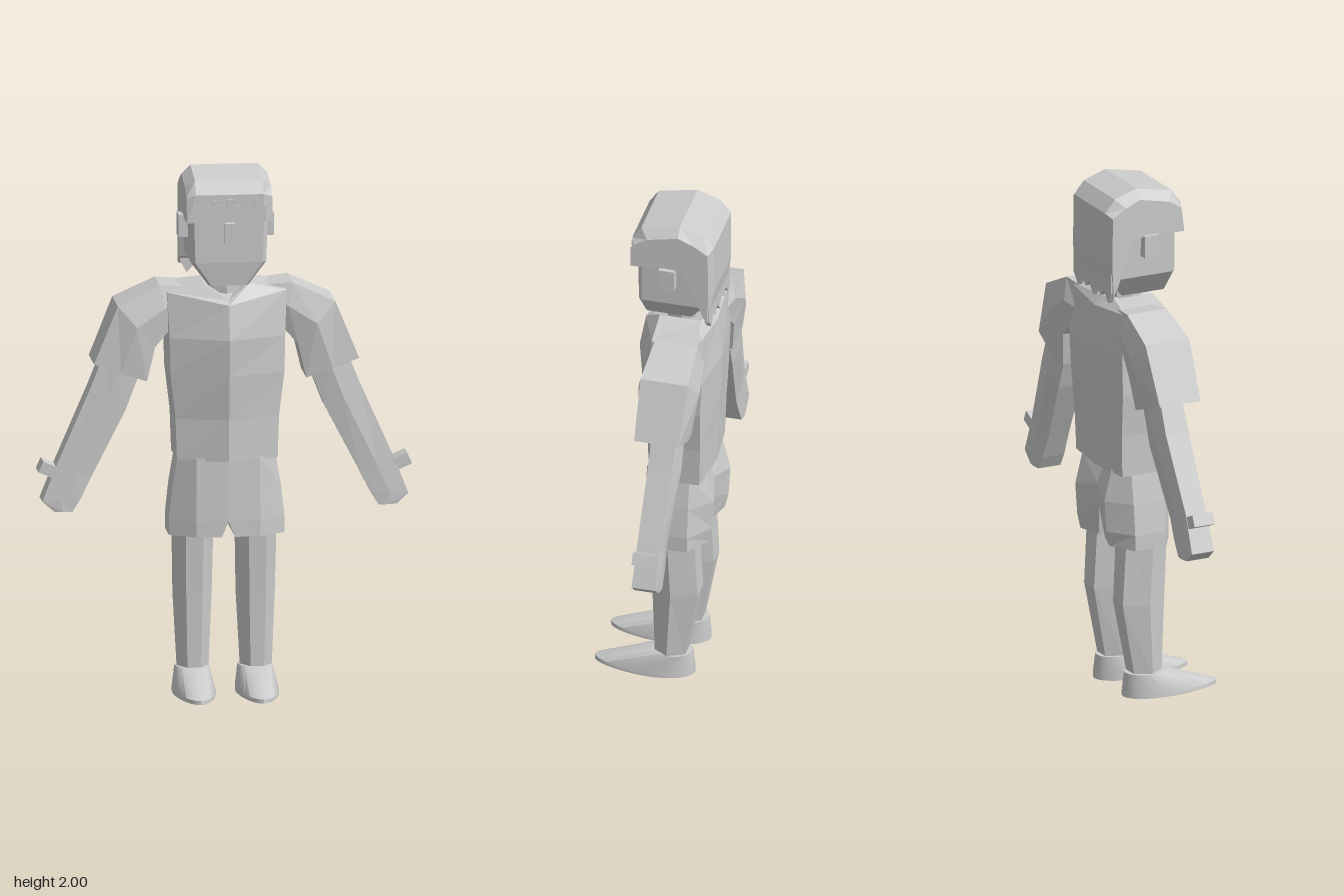
import * as THREE from 'three';
import { toCreasedNormals } from 'three/addons/utils/BufferGeometryUtils.js';

const flat = new THREE.MeshStandardMaterial({ color: 0xcccccc, flatShading: true });
const smooth = new THREE.MeshStandardMaterial({ color: 0xcccccc });

// Flat cap triangles for a ring, projected along its main normal axis
function capFaces(ring) {
  const n = [0, 0, 0];
  ring.forEach((a, i) => {
    const b = ring[(i + 1) % ring.length];
    for (let k = 0; k < 3; k++) {
      const u = (k + 1) % 3, v = (k + 2) % 3;
      n[k] += (a[u] - b[u]) * (a[v] + b[v]);
    }
  });
  const m = n.map(Math.abs), k = m.indexOf(Math.max(...m));
  const u = (k + 1) % 3, v = (k + 2) % 3;
  const pts = ring.map((p) => new THREE.Vector2(p[u], p[v]));
  const faces = THREE.ShapeUtils.triangulateShape(pts, []);
  // orient every face along the ring's own direction
  return faces.map(([a, b, c]) => {
    const area = (pts[b].x - pts[a].x) * (pts[c].y - pts[a].y) - (pts[b].y - pts[a].y) * (pts[c].x - pts[a].x);
    return (area > 0) === (n[k] > 0) ? [a, b, c] : [a, c, b];
  });
}

// Closed solid through matching rings of [x, y, z]; turned outward by its volume
function loft(rings) {
  const tris = [], count = rings[0].length, last = rings.length - 1;
  for (let r = 0; r < last; r++) {
    for (let i = 0; i < count; i++) {
      const j = (i + 1) % count;
      const a = rings[r][i], b = rings[r][j], c = rings[r + 1][j], d = rings[r + 1][i];
      tris.push([a, b, c], [a, c, d]);
    }
  }
  capFaces(rings[0]).forEach(([a, b, c]) => tris.push([rings[0][a], rings[0][c], rings[0][b]]));
  capFaces(rings[last]).forEach((f) => tris.push(f.map((i) => rings[last][i])));
  let volume = 0;
  const A = new THREE.Vector3(), B = new THREE.Vector3(), C = new THREE.Vector3();
  for (const [a, b, c] of tris) volume += A.set(...a).dot(B.set(...b).cross(C.set(...c)));
  const points = tris.flatMap(([a, b, c]) => (volume < 0 ? [a, c, b] : [a, b, c])).flat();
  const geo = new THREE.BufferGeometry();
  geo.setAttribute('position', new THREE.Float32BufferAttribute(points, 3));
  geo.computeVertexNormals();
  return geo;
}

// Six-sided limb section between an outer and inner point, bulging at mid depth lines
function limbRing([ox, oy], [ix, iy], zf, zb, bulge) {
  const mx = (ox + ix) / 2, my = (oy + iy) / 2;
  return [[ox, oy, zf], [mx, my, zf + bulge], [ix, iy, zf], [ix, iy, zb], [mx, my, zb - bulge], [ox, oy, zb]];
}

// Symmetric trunk ring: centre front, front corner, back corner, centre back as [x, y, z]
function trunkRing(f, fc, bc, b) {
  const flip = ([x, y, z]) => [-x, y, z];
  return [f, fc, bc, b, flip(bc), flip(fc)];
}

export function createModel() {
  const model = new THREE.Group();
  const add = (name, geo, mat = flat, parent = model) => {
    const mesh = new THREE.Mesh(geo, mat);
    mesh.name = name;
    parent.add(mesh);
    return mesh;
  };
  const box = (name, size, pos, tilt = 0) => {
    const mesh = add(name, new THREE.BoxGeometry(...size));
    mesh.position.set(...pos);
    mesh.rotation.z = tilt;
  };

  // Shirt body with a V neck: [y, half width, front z, corner z, back corner z, back z]
  const shirt = [
    [0.89, 0.19, 0.058, 0.0, -0.19, -0.21],
    [1.05, 0.195, 0.062, 0.0, -0.195, -0.215],
    [1.22, 0.215, 0.08, 0.005, -0.2, -0.225],
    [1.36, 0.218, 0.09, 0.005, -0.205, -0.23],
  ].map(([y, w, f, fc, bc, b]) => trunkRing([0, y, f], [w, y, fc], [w, y, bc], [0, y, b]));
  shirt.push(trunkRing([0, 1.49, 0.065], [0.225, 1.53, -0.015], [0.225, 1.54, -0.195], [0, 1.52, -0.212]));
  shirt.push(trunkRing([0, 1.505, 0.035], [0.085, 1.56, -0.01], [0.085, 1.56, -0.17], [0, 1.555, -0.185]));
  add('shirt', loft(shirt));
  const neck = add('neck', new THREE.CylinderGeometry(0.07, 0.075, 0.14, 8));
  neck.position.set(0, 1.56, -0.09);

  // Head with tapering jaw: [y, half width, front z, back z, front corner chamfer]
  add('head', loft([
    [1.565, 0.075, 0.05, -0.13, 0.01],
    [1.655, 0.142, 0.06, -0.19, 0.015],
    [1.86, 0.148, 0.06, -0.2, 0.015],
  ].map(([y, w, f, b, c]) => [
    [-w + c, y, f], [w - c, y, f], [w, y, f - c], [w, y, b], [-w, y, b], [-w, y, f - c],
  ])));
  box('nose', [0.04, 0.08, 0.04], [0, 1.77, 0.07]);

  // Hair cap: side profile [z, y, inset] swept across, sloped in along crown and back
  const profile = [
    [0.085, 1.815, 0], [0.085, 1.92, 0.012], [0.05, 1.97, 0.03], [-0.1, 2.0, 0.035], [-0.19, 1.97, 0.03],
    [-0.23, 1.92, 0.015], [-0.23, 1.72, 0.012], [-0.212, 1.6, 0], [-0.195, 1.63, 0], [-0.125, 1.815, 0],
  ];
  const hairRing = (x, amount) => profile.map(([z, y, s]) => [
    x, y - (y > 1.9 ? s * amount : 0), z + (z < -0.1 ? 1 : z > 0 ? -1 : 0) * s * amount,
  ]);
  add('hair', loft([hairRing(-0.162, 1), hairRing(-0.128, 0), hairRing(0.128, 0), hairRing(0.162, 1)]));

  // Scalloped fringe band on the forehead
  const fringe = new THREE.Shape();
  fringe.moveTo(-0.135, 1.815).lineTo(0.135, 1.815).lineTo(0.135, 1.88);
  for (let i = 0; i < 5; i++) {
    const x = 0.135 - i * 0.054;
    fringe.lineTo(x - 0.012, 1.88).lineTo(x - 0.016, 1.902).lineTo(x - 0.038, 1.902).lineTo(x - 0.042, 1.88);
  }
  fringe.lineTo(-0.135, 1.88);
  add('fringe', new THREE.ExtrudeGeometry(fringe, { depth: 0.01, bevelEnabled: false })).position.z = 0.08;

  // Ragged locks at the nape
  const locks = new THREE.Shape();
  locks.moveTo(0.155, 1.68).lineTo(-0.155, 1.68).lineTo(-0.155, 1.61);
  for (let i = 0; i < 5; i++) {
    const x = -0.155 + i * 0.062;
    locks.lineTo(x + 0.025, i % 2 ? 1.58 : 1.565).lineTo(x + 0.062, 1.605);
  }
  add('napeLocks', new THREE.ExtrudeGeometry(locks, { depth: 0.018, bevelEnabled: false })).position.z = -0.219;

  for (const s of [1, -1]) {
    const side = s > 0 ? 'left' : 'right';
    const mirrored = (rings) => loft(rings.map((ring) => ring.map(([x, y, z]) => [s * x, y, z])));

    box(side + 'Ear', [0.05, 0.085, 0.06], [s * 0.155, 1.78, -0.06]);

    // Sleeve
    add(side + 'Sleeve', mirrored([
      limbRing([0.15, 1.545], [0.19, 1.36], -0.05, -0.19, 0.01),
      limbRing([0.25, 1.553], [0.215, 1.38], -0.035, -0.2, 0.02),
      limbRing([0.41, 1.48], [0.27, 1.32], -0.02, -0.205, 0.025),
      limbRing([0.5, 1.26], [0.3, 1.19], -0.02, -0.19, 0.012),
    ]));

    // Arm and fist
    add(side + 'Arm', mirrored([
      limbRing([0.45, 1.3], [0.31, 1.24], -0.08, -0.17, 0.018),
      limbRing([0.51, 1.15], [0.375, 1.07], -0.075, -0.17, 0.015),
      limbRing([0.635, 0.87], [0.505, 0.82], -0.065, -0.15, 0.008),
      limbRing([0.69, 0.73], [0.545, 0.74], -0.06, -0.152, 0.005),
      limbRing([0.645, 0.69], [0.577, 0.688], -0.06, -0.152, 0.005),
    ]));
    box(side + 'Thumb', [0.11, 0.045, 0.085], [s * 0.645, 0.84, -0.106], s * 0.42);

    // Shorts leg; the crotch rises higher at the back
    const shortsRing = (y, inner, outer, front, back, rise) => [
      [inner, y, front], [0.12, y, front - 0.005], [outer, y, -0.02],
      [outer, y, -0.15], [0.12, y, back], [inner, y + rise, back + 0.03],
    ];
    add(side + 'Shorts', mirrored([
      shortsRing(0.9, 0, 0.185, 0.035, -0.2, 0),
      shortsRing(0.78, 0, 0.205, 0.04, -0.23, 0.03),
      shortsRing(0.66, 0, 0.218, 0.045, -0.222, 0.06),
      shortsRing(0.6, 0.025, 0.218, 0.045, -0.208, 0),
    ]));

    // Lower leg: [y, half width, front z, back z]
    const cx = s > 0 ? 0.114 : -0.124;
    add(side + 'Leg', loft([
      [0.66, 0.08, 0.015, -0.16], [0.37, 0.074, 0.003, -0.175], [0.08, 0.06, -0.005, -0.122],
    ].map(([y, w, f, b]) => {
      const m = f + (b - f) * 0.45;
      return [[cx - w * 0.42, y, f], [cx + w * 0.42, y, f], [cx + w, y, m],
        [cx + w * 0.55, y, b], [cx - w * 0.55, y, b], [cx - w, y, m]];
    })));

    // Shoe: pointed sole outline rising to the ankle
    const outline = (y, w, zBack, zFront, taper) => Array.from({ length: 24 }, (_, i) => {
      const a = (i / 24) * Math.PI * 2, c = Math.cos(a);
      return [cx - 0.003 + w * Math.sin(a) * (1 - taper * c), y, (zBack + zFront) / 2 + (zFront - zBack) / 2 * c];
    });
    add(side + 'Shoe', toCreasedNormals(loft([
      outline(0, 0.079, -0.155, 0.235, 0.22),
      outline(0.015, 0.079, -0.155, 0.233, 0.22),
      outline(0.092, 0.064, -0.145, 0.015, 0.05),
    ]), 0.7), smooth);
  }
  return model;
}
